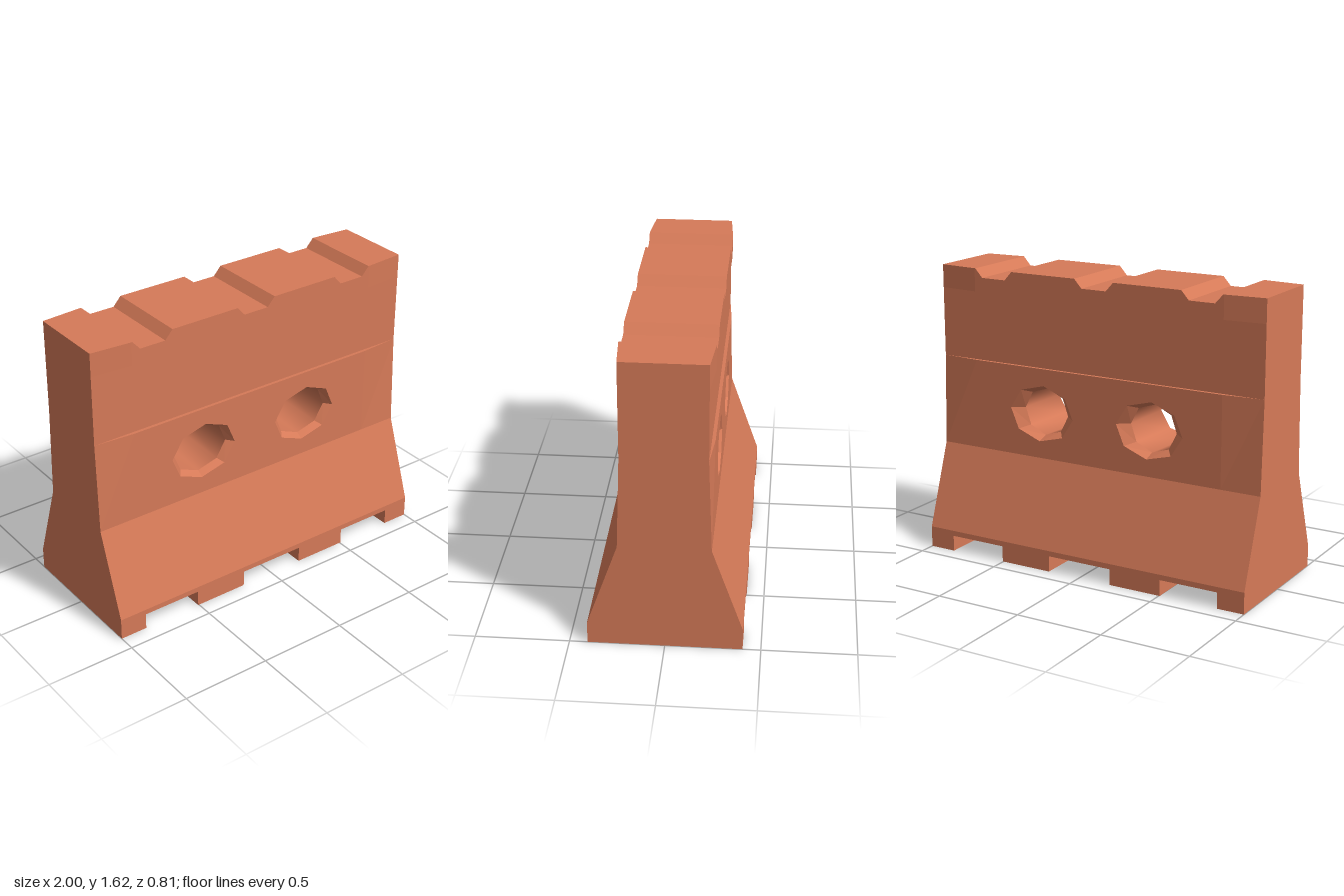
import * as THREE from 'three';
import { mergeGeometries } from 'three/addons/utils/BufferGeometryUtils.js';

const END = 1, BREAK = 0.77;            // half length, where the ends start to taper
const WIDE = 0.24, THIN = 0.222, FOOT = 0.405; // half depths
const Y = { foot: 0.12, slope: 0.59, shelf: 1.10, cap: 1.49, top: 1.62 };
const HOLE_X = 0.34, HOLE_Y = 0.845, TILT = -0.07;

// Four-cornered face, corners counter-clockwise seen from outside
function quad(a, b, c, d) {
  const g = new THREE.BufferGeometry();
  g.setAttribute('position', new THREE.Float32BufferAttribute([a, b, c, a, c, d].flat(), 3));
  g.computeVertexNormals();
  return g;
}

// Upright flat face from an outline in x and y, with optional holes
function panel(points, z, holes = []) {
  const v = (p) => new THREE.Vector2(p[0], p[1]);
  const shape = new THREE.Shape(points.map(v));
  holes.forEach((h) => shape.holes.push(new THREE.Path(h.map(v))));
  const g = new THREE.ShapeGeometry(shape).toNonIndexed();
  g.deleteAttribute('uv');
  return g.translate(0, 0, z);
}

// Eight-sided ring around a hole
function ring(cx, rx, ry, z, tilt) {
  return Array.from({ length: 8 }, (_, k) => {
    const a = (k * Math.PI) / 4 + tilt;
    return [cx + rx * Math.cos(a), HOLE_Y + ry * Math.sin(a), z];
  });
}

// Faces between two rings, looking in at the axis
function band(near, far) {
  return near.map((p, k) => {
    const n = (k + 1) % near.length;
    return quad(p, near[n], far[n], far[k]);
  });
}

// Same band with shared corners for smooth shading
function smoothBand(near, far) {
  const g = new THREE.BufferGeometry(), n = near.length, index = [];
  for (let k = 0; k < n; k++) {
    const m = (k + 1) % n;
    index.push(k, m, n + m, k, n + m, n + k);
  }
  g.setAttribute('position', new THREE.Float32BufferAttribute([...near, ...far].flat(), 3));
  g.setIndex(index);
  g.computeVertexNormals();
  return g;
}

export function createModel() {
  const group = new THREE.Group();
  const terracotta = new THREE.MeshStandardMaterial({ color: 0xd67a58 });
  terracotta.name = 'terracotta';
  const add = (name, geometry) => {
    const mesh = new THREE.Mesh(geometry, terracotta);
    mesh.name = name;
    group.add(mesh);
    return mesh;
  };

  // Notch outlines, left to right
  const topNotches = [-0.645, 0, 0.645].flatMap((c) => [
    [c - 0.12, Y.top], [c - 0.075, 1.57], [c + 0.075, 1.57], [c + 0.12, Y.top]]);
  const footNotches = [[-0.675, 0.17], [0, 0.195], [0.675, 0.17]].flatMap(([c, h]) => [
    [c - h, 0], [c - h, 0.09], [c + h, 0.09], [c + h, 0]]);

  // Long side: foot, slope, pierced panel, recessed band and cap
  const side = [
    panel([[-END, 0], ...footNotches, [END, 0], [END, Y.foot], [-END, Y.foot]], FOOT),
    quad([-END, Y.foot, FOOT], [END, Y.foot, FOOT], [END, Y.slope, WIDE], [-END, Y.slope, WIDE]),
    panel([[-BREAK, Y.slope], [BREAK, Y.slope], [BREAK, Y.shelf], [-BREAK, Y.shelf]], WIDE,
      [-HOLE_X, HOLE_X].map((x) => ring(x, 0.203, 0.16, 0, TILT))),
    panel([[-END, Y.shelf], [END, Y.shelf], [END, Y.cap], [-END, Y.cap]], THIN),
    panel([[-BREAK, Y.cap], [BREAK, Y.cap], [BREAK, Y.top], ...[...topNotches].reverse(),
      [-BREAK, Y.top]], WIDE),
    // Ledges above the panel and under the cap
    quad([-BREAK, Y.shelf, WIDE], [BREAK, Y.shelf, WIDE], [END, Y.shelf, THIN], [-END, Y.shelf, THIN]),
    quad([-END, Y.cap, THIN], [END, Y.cap, THIN], [BREAK, Y.cap, WIDE], [-BREAK, Y.cap, WIDE]),
  ];
  // Tapered ends of the panel and cap
  for (const [y0, y1, low] of [[Y.slope, Y.shelf, WIDE], [Y.cap, Y.top, THIN]]) {
    side.push(
      quad([BREAK, y0, WIDE], [END, y0, low], [END, y1, THIN], [BREAK, y1, WIDE]),
      quad([-END, y0, low], [-BREAK, y0, WIDE], [-BREAK, y1, WIDE], [-END, y1, THIN]));
  }
  const sideGeometry = mergeGeometries(side);
  add('frontSide', sideGeometry);
  add('backSide', sideGeometry).rotation.y = Math.PI;

  // Notched top and underside
  const strip = (line, depth) => mergeGeometries(line.slice(1).map((q, i) => {
    const p = line[i], a = depth(p[0]), b = depth(q[0]);
    return quad([...p, a], [...q, b], [...q, -b], [...p, -a]);
  }));
  add('notchedTop', strip(
    [[-END, Y.top], [-BREAK, Y.top], ...topNotches, [BREAK, Y.top], [END, Y.top]],
    (x) => (Math.abs(x) > BREAK ? THIN : WIDE)));
  add('underside', strip([[-END, 0], ...footNotches, [END, 0]].reverse(), () => FOOT));

  // End walls
  const profile = [[0, FOOT], [Y.foot, FOOT], [Y.slope, WIDE], [Y.shelf, THIN], [Y.top, THIN]];
  const endGeometry = mergeGeometries(profile.slice(1).map(([y1, w1], i) => {
    const [y0, w0] = profile[i];
    return quad([END, y0, w0], [END, y0, -w0], [END, y1, -w1], [END, y1, w1]);
  }));
  add('leftEnd', endGeometry);
  add('rightEnd', endGeometry).rotation.y = Math.PI;

  // Forklift holes: bevelled rims joined by a smooth tapering tunnel
  for (const x of [-HOLE_X, HOLE_X]) {
    const front = ring(x, 0.203, 0.16, WIDE, TILT);
    const frontInner = ring(x, 0.168, 0.138, 0.2, TILT);
    const backInner = ring(x, 0.14, 0.135, -0.185, -TILT);
    const back = ring(x, 0.203, 0.16, -WIDE, -TILT);
    add('holeRims', mergeGeometries([...band(front, frontInner), ...band(backInner, back)]));
    add('holeTunnel', smoothBand(frontInner, backInner));
  }
  return group;
}
